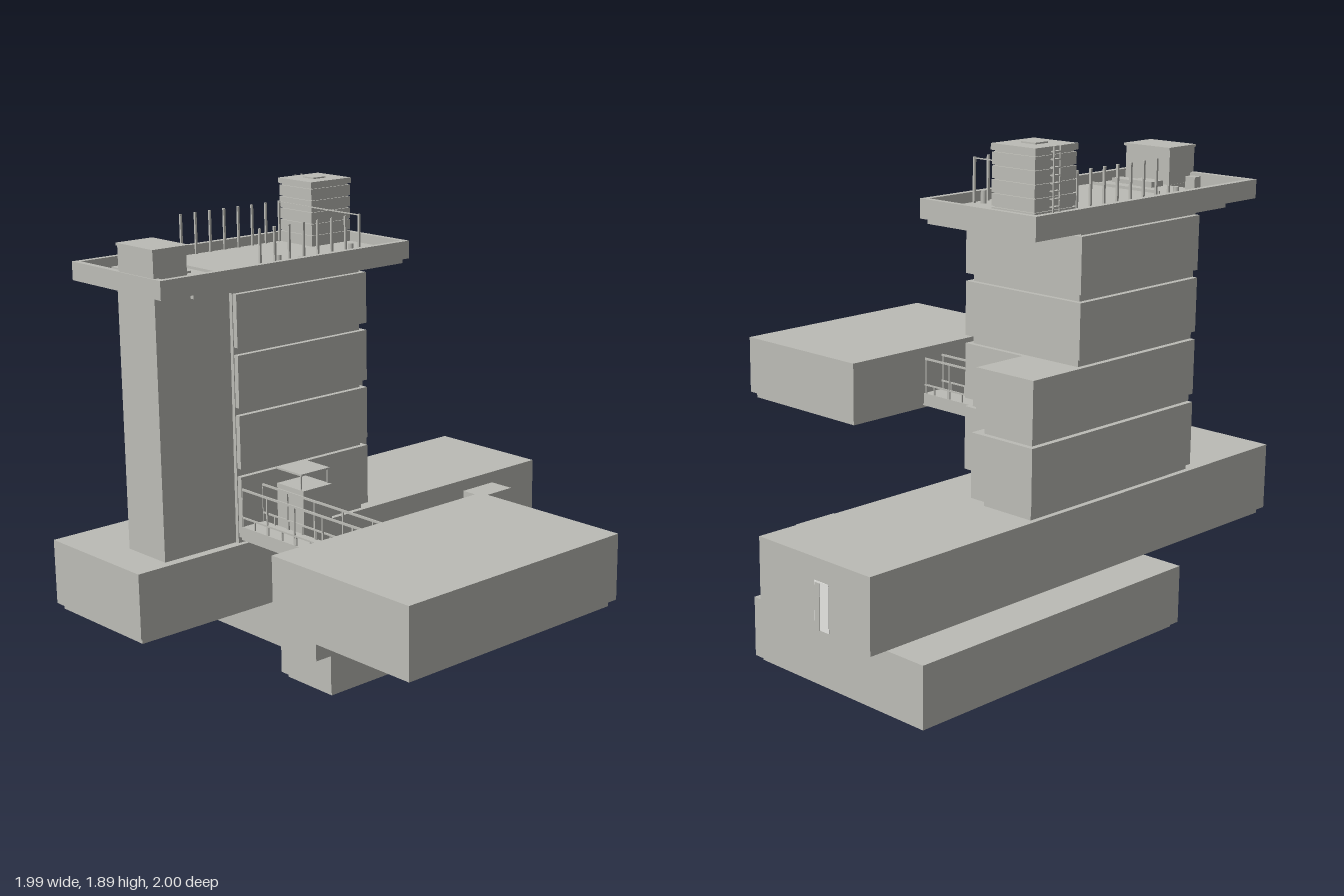
import * as THREE from 'three';

export function createModel() {
  const model = new THREE.Group();
  const concrete = new THREE.MeshStandardMaterial({ color: 0xbcbcb6 });
  concrete.name = 'concrete grey';
  const pale = new THREE.MeshStandardMaterial({ color: 0xe6e6e2 });
  pale.name = 'pale opening';

  // box given by its limits on each axis
  function box(name, x0, x1, y0, y1, z0, z1, parent = model, mat = concrete) {
    const mesh = new THREE.Mesh(new THREE.BoxGeometry(x1 - x0, y1 - y0, z1 - z0), mat);
    mesh.position.set((x0 + x1) / 2, (y0 + y1) / 2, (z0 + z1) / 2);
    mesh.name = name;
    parent.add(mesh);
    return mesh;
  }
  // block standing on a slightly recessed shadow-gap plinth
  function block(name, x0, x1, y0, y1, z0, z1, gap) {
    const g = new THREE.Group();
    g.name = name;
    box(name + 'Body', x0, x1, y0, y1, z0, z1, g);
    const i = 0.018;
    box(name + 'Plinth', x0 + i, x1 - i, y0 - gap, y0, z0 + i, z1 - i, g);
    model.add(g);
  }

  // stacked horizontal volumes
  block('footing', -0.55, -0.26, 0.02, 0.19, -0.163, 0.203, 0.02);
  block('lowerBlock', -1, -0.21, 0.205, 0.41, -0.915, 0.32, 0.017);
  block('middleBlock', -0.86, -0.345, 0.432, 0.675, -1, 1, 0.022);
  block('floatingBlock', 0.373, 0.99, 0.698, 0.925, 0.06, 1, 0.023);
  box('sideAnnex', -0.346, -0.24, 0.432, 0.63, -0.757, -0.59);

  // end doorway with a leaf standing open, and a side door
  box('endDoorway', -0.675, -0.61, 0.44, 0.6, -1.002, -0.999, model, pale);
  box('endDoorLeaf', -0.635, -0.613, 0.44, 0.595, -1.004, -1.001);
  box('sideDoor', -0.346, -0.342, 0.432, 0.6, -0.815, -0.76);

  // tower of four storeys around a core
  box('towerCore', -0.84, -0.365, 0.675, 1.61, -0.052, 0.543);
  [[0.698, 0.925], [0.955, 1.15], [1.178, 1.368], [1.395, 1.585]].forEach(([y0, y1], i) => {
    box('storey' + (i + 1), -0.86, -0.345, y0, y1, -0.07, 0.54);
    if (i < 2) {
      box('rearBay' + (i + 1), -0.86, i ? -0.61 : -0.59, y0, y1, -0.29, -0.06);
      box('rearBayGap' + (i + 1), -0.84, -0.63, y0 - 0.03, y0, -0.27, -0.05);
    }
  });

  // lift shaft in front of the tower, with its head above the roof
  box('liftShaft', -0.59, -0.38, 0.675, 1.64, 0.53, 0.86);
  box('shaftHead', -0.588, -0.388, 1.62, 1.765, 0.715, 0.855);
  box('shaftHeadCap', -0.592, -0.384, 1.765, 1.774, 0.705, 0.859);

  // roof deck and parapet; the front left corner stays open
  box('roofDeck', -0.842, -0.362, 1.59, 1.64, -0.272, 0.71);
  const parapet = new THREE.Group();
  parapet.name = 'parapet';
  model.add(parapet);
  box('parapetRight', -0.86, -0.837, 1.608, 1.675, -0.29, 0.86, parapet);
  box('parapetLeft', -0.368, -0.345, 1.608, 1.675, -0.29, 0.86, parapet);
  box('parapetBack', -0.837, -0.368, 1.608, 1.675, -0.29, -0.268, parapet);
  box('parapetFront', -0.837, -0.368, 1.608, 1.675, 0.836, 0.86, parapet);

  // banded plant house on the back of the roof
  const plant = new THREE.Group();
  plant.name = 'plantHouse';
  model.add(plant);
  box('plantCore', -0.828, -0.656, 1.63, 1.87, -0.262, -0.083, plant);
  for (let i = 0; i < 5; i++) {
    const y = 1.64 + i * 0.044;
    box('plantBand', -0.834, -0.65, y, y + 0.04, -0.27, -0.075, plant);
  }
  box('plantCap', -0.837, -0.647, 1.862, 1.883, -0.273, -0.072, plant);
  box('plantHatch', -0.77, -0.71, 1.883, 1.888, -0.2, -0.14, plant);
  // ladder
  for (const z of [-0.2, -0.17]) box('ladderRail', -0.85, -0.845, 1.64, 1.885, z, z + 0.004, plant);
  for (let y = 1.69; y < 1.88; y += 0.025) box('ladderRung', -0.85, -0.834, y, y + 0.004, -0.2, -0.166, plant);

  // roof posts along both long sides
  for (let i = 0; i < 8; i++) {
    const z = 0.4 - i * 0.067;
    for (const x of [-0.832, -0.38]) box('roofPost', x - 0.004, x + 0.004, 1.63, 1.795, z - 0.004, z + 0.004);
  }
  box('roofWire', -0.83, -0.38, 1.789, 1.793, -0.071, -0.067);

  // roof fittings
  box('roofCabinet', -0.83, -0.79, 1.63, 1.71, 0.545, 0.578);
  box('roofHatch', -0.445, -0.395, 1.63, 1.66, 0.12, 0.17);
  box('roofUnit', -0.585, -0.49, 1.63, 1.66, 0.62, 0.685);
  box('roofStep', -0.48, -0.395, 1.63, 1.655, 0.63, 0.68);
  box('roofKerb', -0.69, -0.38, 1.63, 1.65, 0.53, 0.535);
  for (const [x, z] of [[-0.41, -0.055], [-0.41, 0.29], [-0.81, 0.47]]) {
    const vent = new THREE.Mesh(new THREE.CylinderGeometry(0.01, 0.01, 0.05, 12), concrete);
    vent.position.set(x, 1.66, z);
    vent.name = 'roofVent';
    model.add(vent);
  }

  // balcony room beside the bridge with a thin canopy
  box('balconyRoom', -0.35, -0.2, 0.698, 0.87, 0.24, 0.375);
  box('balconyBase', -0.35, -0.215, 0.68, 0.698, 0.255, 0.36);
  box('canopy', -0.35, -0.21, 0.923, 0.93, 0.24, 0.375);
  for (const z of [0.245, 0.37]) box('canopyPost', -0.22, -0.215, 0.87, 0.925, z - 0.002, z + 0.002);

  // footbridge with open railings
  const bridge = new THREE.Group();
  bridge.name = 'bridge';
  model.add(bridge);
  box('bridgeDeck', -0.35, 0.38, 0.69, 0.74, 0.437, 0.54, bridge);
  for (const z of [0.44, 0.533]) {
    box('topRail', -0.35, 0.38, 0.875, 0.883, z, z + 0.005, bridge);
    box('midRail', -0.35, 0.38, 0.771, 0.777, z, z + 0.005, bridge);
    for (const x of [-0.345, -0.21, -0.063, 0.085, 0.238, 0.365])
      box('railPost', x - 0.003, x + 0.003, 0.74, 0.88, z, z + 0.005, bridge);
    for (let x = -0.28; x < 0.36; x += 0.075)
      box('shortPost', x - 0.003, x + 0.003, 0.74, 0.773, z, z + 0.005, bridge);
  }
  return model;
}
